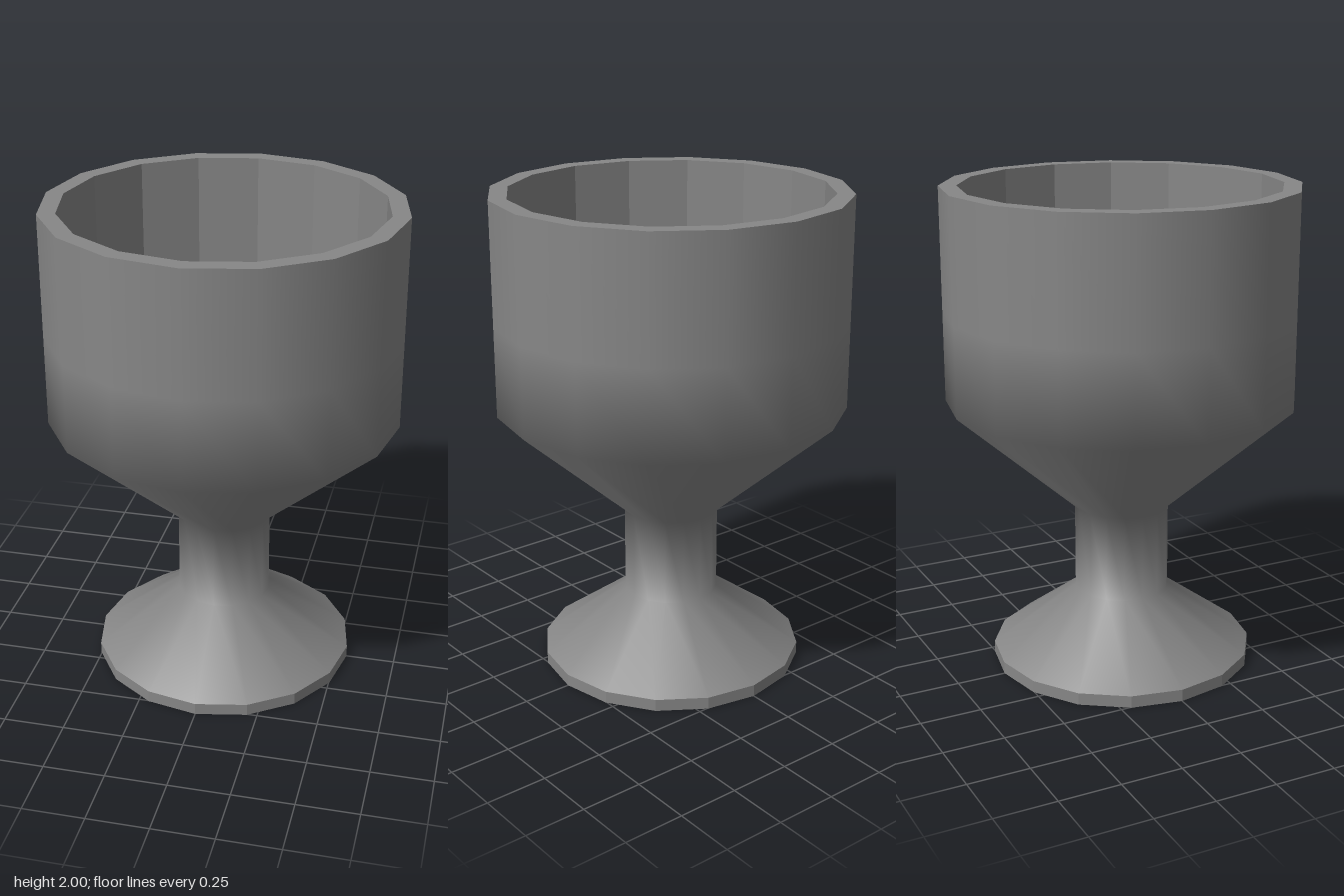
import * as THREE from 'three';

const SIDES = 16;
const material = new THREE.MeshStandardMaterial({ color: 0x878787 });

// Turns a [radius, height] profile; faceted parts get one normal per face
function turned(name, profile, faceted) {
  const points = profile.map(([r, y]) => new THREE.Vector2(r, y));
  let geometry = new THREE.LatheGeometry(points, SIDES);
  if (faceted) {
    geometry = geometry.toNonIndexed();
    geometry.computeVertexNormals();
  }
  const mesh = new THREE.Mesh(geometry, material);
  mesh.name = name;
  return mesh;
}

export function createModel() {
  const goblet = new THREE.Group();
  goblet.name = 'goblet';

  // Underside and short faceted edge of the foot
  goblet.add(turned('footBase', [[0, 0], [0.545, 0], [0.545, 0.05]], true));

  // Foot slope, stem and outside of the bowl, smooth throughout
  goblet.add(turned('outerBody', [
    [0.545, 0.05], [0.195, 0.305], [0.195, 0.67], [0.717, 1.13], [0.717, 1.5], [0.717, 2],
  ], false));

  // Flat rim, straight inner wall and bowl floor
  goblet.add(turned('bowlInterior', [
    [0.717, 2], [0.645, 2], [0.645, 1.28], [0, 1.28],
  ], true));

  return goblet;
}
